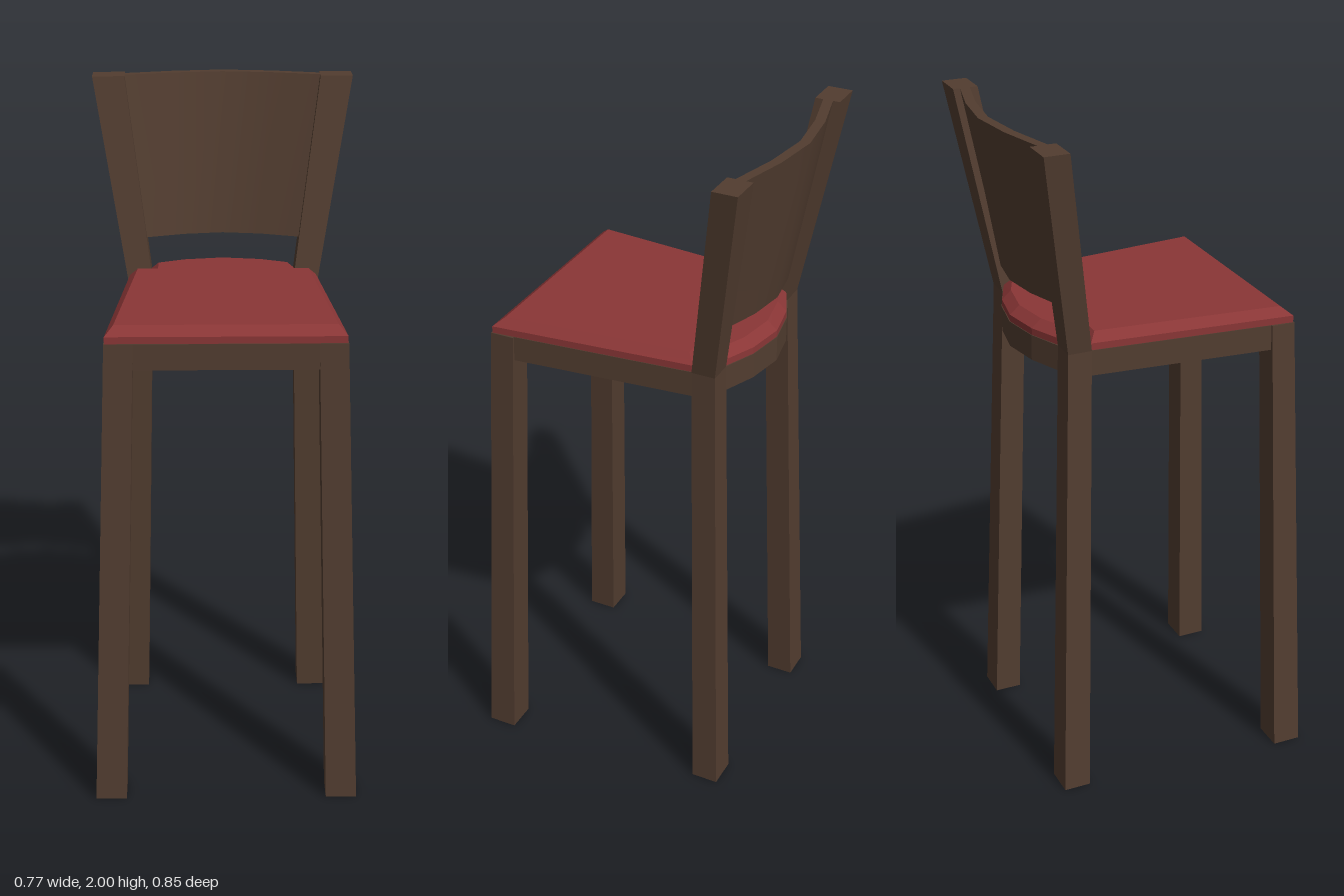
import * as THREE from 'three';
import { toCreasedNormals } from 'three/addons/utils/BufferGeometryUtils.js';

const wood = new THREE.MeshStandardMaterial({ color: 0x523d30 });
const fabric = new THREE.MeshStandardMaterial({ color: 0x8a3636 });

// Closed solid through horizontal outlines; each level is [y, [[x, z], ...]]
function loft(levels, crease = 0.1) {
  const ccw = levels.map(([y, pts]) => {
    const v = pts.map(([x, z]) => new THREE.Vector2(x, z));
    if (THREE.ShapeUtils.isClockWise(v)) v.reverse();
    return [y, v];
  });
  const out = [];
  const put = ([y, v], i) => out.push(v[i].x, y, v[i].y);
  const n = ccw[0][1].length;
  for (let k = 0; k < ccw.length - 1; k++) {
    const lo = ccw[k], hi = ccw[k + 1];
    for (let i = 0; i < n; i++) {
      const j = (i + 1) % n;
      put(lo, i); put(hi, i); put(lo, j);
      put(lo, j); put(hi, i); put(hi, j);
    }
  }
  const bottom = ccw[0], top = ccw[ccw.length - 1];
  for (const f of THREE.ShapeUtils.triangulateShape(bottom[1], [])) f.forEach(i => put(bottom, i));
  for (const f of THREE.ShapeUtils.triangulateShape(top[1], [])) f.reverse().forEach(i => put(top, i));
  const g = new THREE.BufferGeometry();
  g.setAttribute('position', new THREE.Float32BufferAttribute(out, 3));
  return toCreasedNormals(g, crease);
}

const rect = (x0, x1, z0, z1) => [[x0, z0], [x1, z0], [x1, z1], [x0, z1]];
const flip = pts => pts.map(([x, z]) => [-x, z]);
// Completes a half outline running from the front right corner to the back centre
const mirrored = half => [...half, ...flip(half.filter(p => p[0] > 0)).reverse()];

export function createModel() {
  const model = new THREE.Group();
  const add = (name, geometry, material) => {
    const mesh = new THREE.Mesh(geometry, material);
    mesh.name = name;
    model.add(mesh);
    return mesh;
  };

  // Splayed legs; the back ones carry on up as leaning posts
  const frontLeg = [[0, rect(0.295, 0.385, 0.34, 0.425)], [1.4, rect(0.255, 0.335, 0.305, 0.375)]];
  const backLeg = [
    [0, rect(0.245, 0.335, -0.345, -0.265)],
    [1.4, rect(0.212, 0.285, -0.295, -0.225)],
    [2, rect(0.29, 0.385, -0.395, -0.322)],
  ];
  for (const [side, label] of [[1, 'left'], [-1, 'right']]) {
    const place = levels => levels.map(([y, p]) => [y, side > 0 ? p : flip(p)]);
    add(label + 'FrontLeg', loft(place(frontLeg)), wood);
    add(label + 'BackLegAndPost', loft(place(backLeg)), wood);
  }

  // Seat frame, an open ring with a bowed back rail
  const toPoints = pts => pts.map(([x, z]) => new THREE.Vector2(x, z));
  const ring = new THREE.Shape(toPoints(mirrored(
    [[0.335, 0.375], [0.282, -0.225], [0.278, -0.29], [0.22, -0.292], [0.115, -0.335], [0, -0.355]])));
  ring.holes.push(new THREE.Path(toPoints(mirrored(
    [[0.295, 0.335], [0.245, -0.225], [0.215, -0.255], [0.115, -0.295], [0, -0.315]]))));
  const frame = new THREE.ExtrudeGeometry(ring, { depth: 0.075, bevelEnabled: false });
  frame.rotateX(Math.PI / 2);
  add('seatFrame', frame, wood).position.y = 1.4;

  // Cushion notched around the posts, with a bevelled rim
  const rim = mirrored(
    [[0.333, 0.372], [0.28, -0.225], [0.22, -0.225], [0.22, -0.288], [0.115, -0.333], [0, -0.353]]);
  const face = mirrored(
    [[0.308, 0.342], [0.256, -0.205], [0.195, -0.205], [0.195, -0.27], [0.115, -0.305], [0, -0.324]]);
  add('cushion', loft([[1.398, rim], [1.42, rim], [1.445, face]]), fabric);

  // Curved backrest panel, wider at the top and leaning back
  const arc = (w, edge, mid, centre) =>
    [[-w, edge], [-w / 2, mid], [0, centre], [w / 2, mid], [w, edge]];
  const slab = (w, e, m, c) => [...arc(w, e, m, c), ...arc(w, e - 0.029, m - 0.029, c - 0.029).reverse()];
  add('backrest', loft([
    [1.525, slab(0.23, -0.267, -0.305, -0.322)],
    [2, slab(0.292, -0.345, -0.381, -0.399)],
  ], 0.4), wood);

  return model;
}
